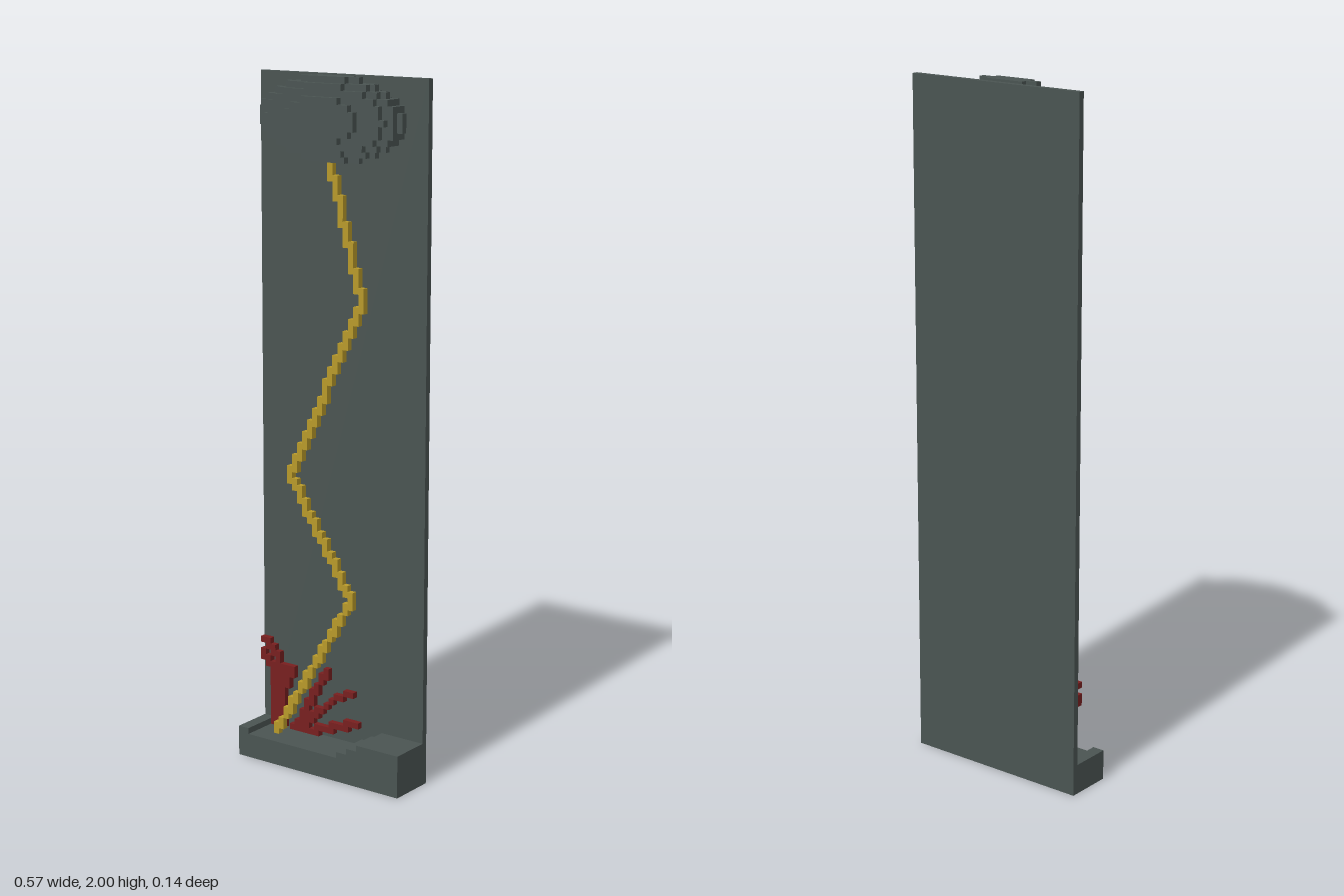
import * as THREE from 'three';
import { mergeGeometries } from 'three/addons/utils/BufferGeometryUtils.js';

// Cell grid: 32 wide, 112 high, 8 deep
const U = 1 / 56;

// Box covering cells from (x, y, z) with size (w, h, d)
function block(x, y, z, w, h, d) {
  const g = new THREE.BoxGeometry(w * U, h * U, d * U);
  return g.translate((x + w / 2 - 16) * U, (y + h / 2) * U, (z + d / 2 - 4) * U);
}

function part(name, material, boxes) {
  const mesh = new THREE.Mesh(mergeGeometries(boxes), material);
  mesh.name = name;
  return mesh;
}

// Cells crossed by a polyline in one depth layer
function cellPath(points, z) {
  const cells = new Map();
  for (let i = 1; i < points.length; i++) {
    const [x0, y0] = points[i - 1];
    const [x1, y1] = points[i];
    for (let s = 0; s <= 200; s++) {
      const x = Math.round(x0 + (x1 - x0) * s / 200);
      const y = Math.round(y0 + (y1 - y0) * s / 200);
      cells.set(x + ',' + y, [x, y]);
    }
  }
  return [...cells.values()].map(([x, y]) => block(x, y, z, 1, 1, 1));
}

export function createModel() {
  const stone = new THREE.MeshStandardMaterial({ color: 0x4a5452 });
  stone.name = 'slate grey';
  const gold = new THREE.MeshStandardMaterial({ color: 0xb89a2a });
  gold.name = 'chain yellow';
  const red = new THREE.MeshStandardMaterial({ color: 0x781f1f });
  red.name = 'coral red';

  const group = new THREE.Group();
  group.name = 'mooringPanel';

  // Back panel
  group.add(part('backPanel', stone, [block(0, 0, 0, 32, 112, 1)]));

  // Ground with a low left edge and a stepped rise on the other side
  const steps = [[0, 2, 5], [2, 20, 4], [20, 22, 5], [22, 24, 6], [24, 32, 7]];
  group.add(part('ground', stone, steps.map(([a, b, h]) => block(a, 0, 1, b - a, h, 7))));

  // Stepped ellipsoid float at the top, built from rows
  const rows = [];
  for (let dy = -6; dy <= 6; dy++) {
    for (let dz = -3; dz <= 3; dz++) {
      const k = 1 - (dy / 6.5) ** 2 - (dz / 3.5) ** 2;
      if (k < 0) continue;
      const r = Math.floor(13.5 * Math.sqrt(k));
      rows.push(block(16 - r, 105 + dy, 4 + dz, 2 * r + 1, 1, 1));
    }
  }
  group.add(part('float', stone, rows));

  // Zigzag chain from the float to the ground
  group.add(part('chain', gold, cellPath([[16, 98], [22, 77], [8, 48], [20, 29], [5, 4]], 4)));

  // Coral with a thick trunk, a curled tip and fanned branches
  const coral = [block(2, 4, 1, 3, 11, 1), block(5, 13, 1, 2, 2, 1), block(6, 4, 1, 6, 1, 1)];
  const branches = [
    [[3, 14], [2, 17], [0, 18]],
    [[2, 14], [0, 15], [0, 16]],
    [[5, 13], [4, 9]],
    [[7, 4], [10, 10], [13, 15]],
    [[8, 5], [12, 8], [15, 11], [18, 12]],
    [[10, 4], [15, 6], [19, 7]],
  ];
  for (const b of branches) coral.push(...cellPath(b, 1));
  group.add(part('coral', red, coral));

  return group;
}
